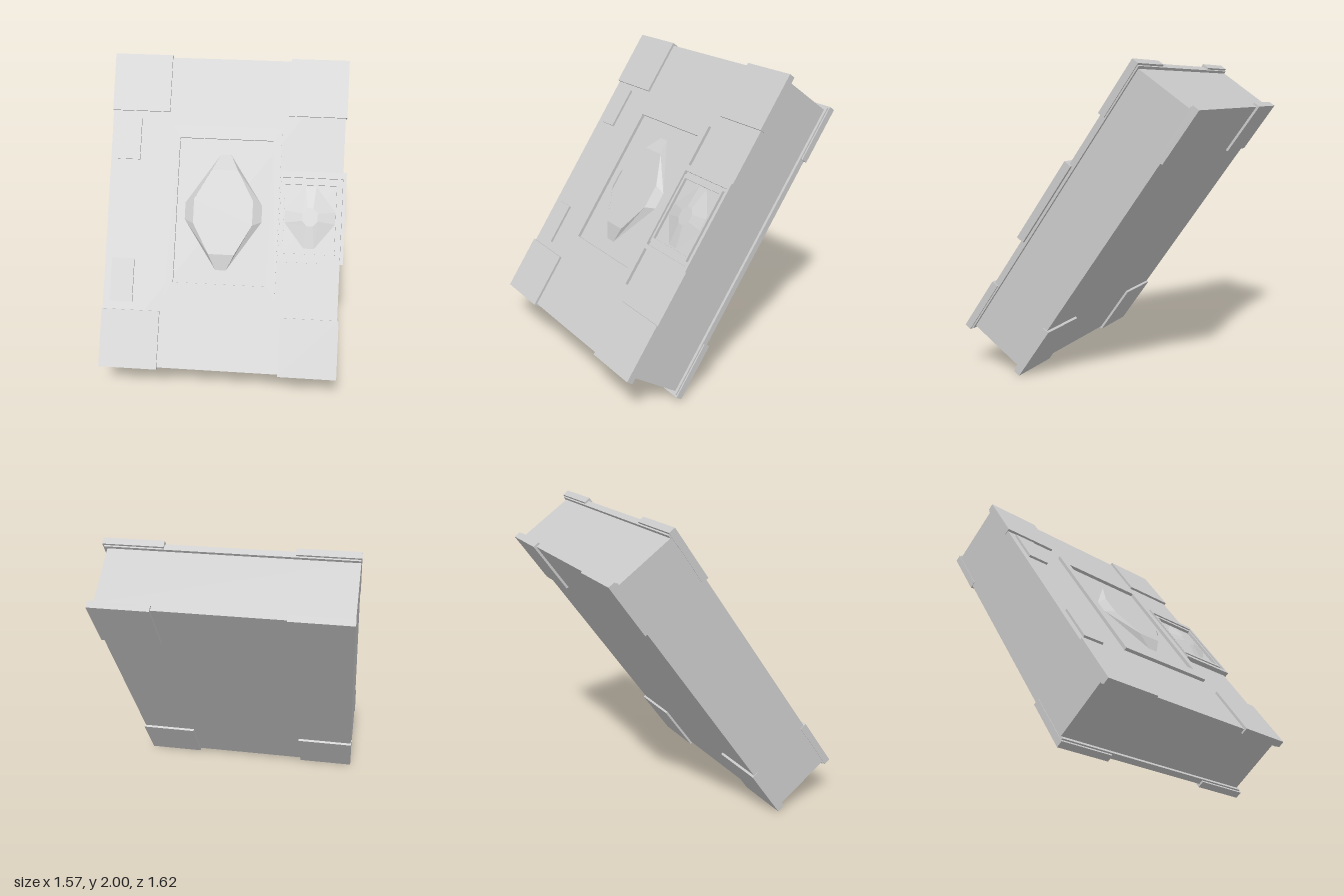
import * as THREE from 'three';

const material = new THREE.MeshStandardMaterial({ color: 0xcccccc, flatShading: true });

function add(parent, name, geometry) {
  const mesh = new THREE.Mesh(geometry, material);
  mesh.name = name;
  parent.add(mesh);
  return mesh;
}

// Box given by its lower and upper limits on each axis
function block(parent, name, [x0, x1], [y0, y1], [z0, z1]) {
  const g = new THREE.BoxGeometry(x1 - x0, y1 - y0, z1 - z0);
  g.translate((x0 + x1) / 2, (y0 + y1) / 2, (z0 + z1) / 2);
  return add(parent, name, g);
}

function rectangle(path, [x0, x1], [y0, y1]) {
  path.moveTo(x0, y0);
  path.lineTo(x1, y0);
  path.lineTo(x1, y1);
  path.lineTo(x0, y1);
  path.closePath();
  return path;
}

// Flat rectangular frame with a rectangular opening
function frame(parent, name, xs, ys, innerX, innerY, [z0, z1]) {
  const shape = rectangle(new THREE.Shape(), xs, ys);
  shape.holes.push(rectangle(new THREE.Path(), innerX, innerY));
  const g = new THREE.ExtrudeGeometry(shape, { depth: z1 - z0, bevelEnabled: false });
  g.translate(0, 0, z0);
  return add(parent, name, g);
}

// Cut gem: each octagon is [tip half width, half height, half width, side half height]
function gem(parent, name, cx, cy, base, table, [z0, z1]) {
  const ring = ([a, h, w, b], z) =>
    [[a, h], [-a, h], [-w, b], [-w, -b], [-a, -h], [a, -h], [w, -b], [w, b]]
      .map(([x, y]) => [cx + x, cy + y, z]);
  const low = ring(base, z0), high = ring(table, z1), points = [];
  for (let i = 0; i < 8; i++) {
    const j = (i + 1) % 8;
    points.push(low[i], low[j], high[j], low[i], high[j], high[i]);
    points.push(high[i], high[j], [cx, cy, z1]);
  }
  const g = new THREE.BufferGeometry();
  g.setAttribute('position', new THREE.Float32BufferAttribute(points.flat(), 3));
  g.computeVertexNormals();
  return add(parent, name, g);
}

export function createModel() {
  const model = new THREE.Group();
  model.name = 'book';

  // The upright book, leaned backwards as a whole
  const book = new THREE.Group();
  book.name = 'leaningBook';
  book.rotation.x = -0.6155;
  book.position.y = 1;
  model.add(book);

  // Page block and spine
  block(book, 'pages', [-0.75, 0.745], [-1.015, 1.015], [-0.197, 0.197]);
  block(book, 'spine', [-0.787, -0.75], [-1.015, 1.015], [-0.197, 0.197]);

  // Covers with a protector on every corner
  for (const side of [1, -1]) {
    const span = (a, b) => side > 0 ? [a, b] : [-b, -a];
    block(book, side > 0 ? 'frontCover' : 'backCover',
      [-0.787, 0.763], [-1.034, 1.034], span(0.195, 0.235));
    for (const xs of [[-0.79, -0.405], [0.39, 0.772]])
      for (const ys of [[-1.047, -0.665], [0.665, 1.047]])
        block(book, 'cornerProtector', xs, ys, span(0.205, 0.251));
  }

  // Hinge plates beside the spine
  for (const ys of [[0.338, 0.625], [-0.612, -0.324]])
    block(book, 'hingePlate', [-0.74, -0.59], ys, [0.23, 0.25]);

  // Central panel and its gem
  frame(book, 'centreFrame', [-0.38, 0.35], [-0.56, 0.579],
    [-0.325, 0.295], [-0.468, 0.494], [0.23, 0.256]);
  gem(book, 'centreGem', -0.015, 0.008,
    [0.035, 0.383, 0.255, 0.055], [0.085, 0.28, 0.195, 0.08], [0.235, 0.27]);

  // Clasp: stepped plate with a small gem
  const clasp = new THREE.Group();
  clasp.name = 'clasp';
  book.add(clasp);
  block(clasp, 'claspPlate', [0.354, 0.783], [-0.3, 0.3], [0.213, 0.243]);
  frame(clasp, 'claspRim', [0.354, 0.783], [-0.3, 0.3],
    [0.358, 0.762], [-0.27, 0.258], [0.243, 0.265]);
  frame(clasp, 'gemSetting', [0.37, 0.74], [-0.242, 0.238],
    [0.386, 0.724], [-0.215, 0.212], [0.243, 0.262]);
  gem(clasp, 'claspGem', 0.556, 0,
    [0.035, 0.205, 0.165, 0.04], [0.02, 0.06, 0.05, 0.025], [0.243, 0.267]);

  return model;
}
